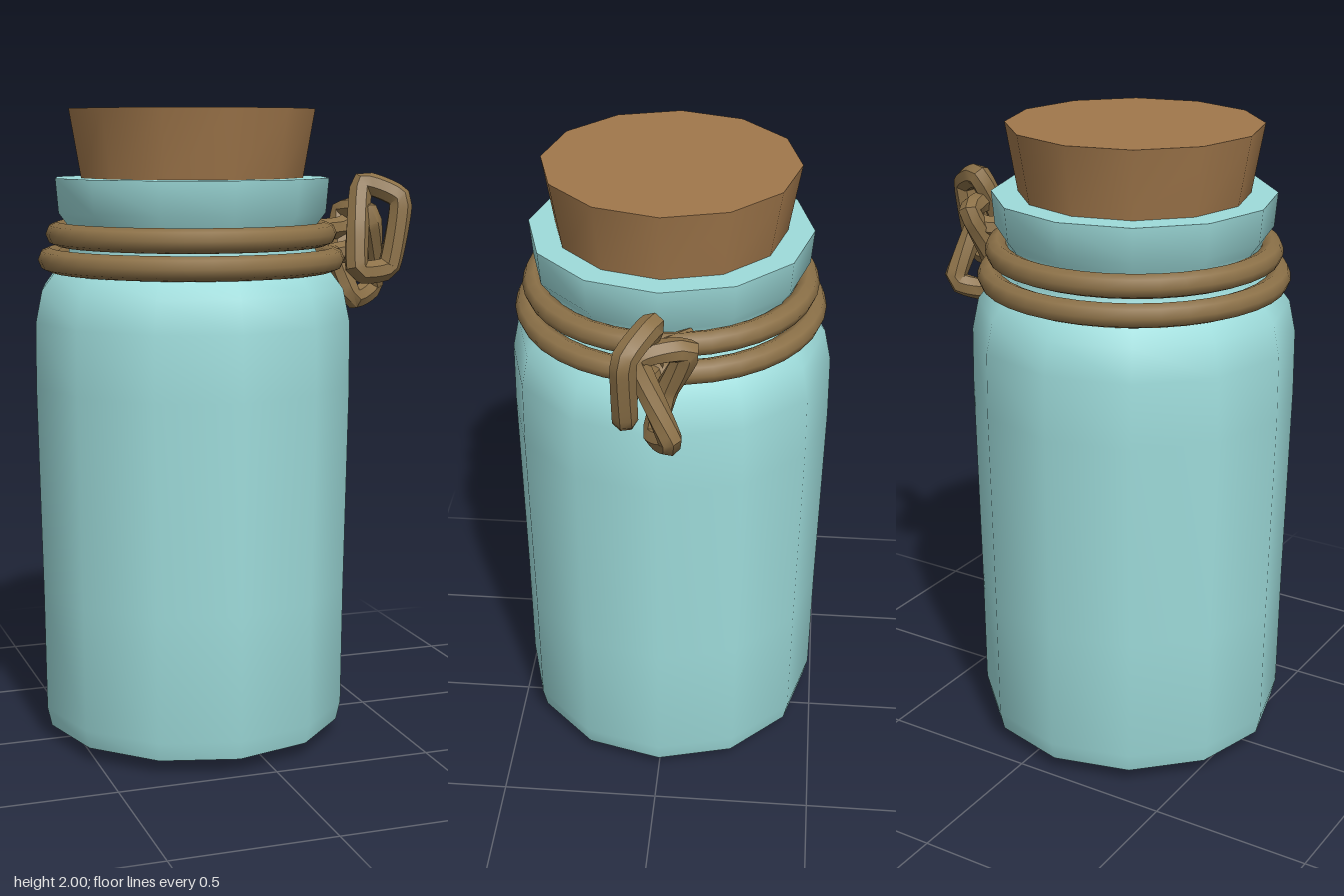
import * as THREE from 'three';
import { toCreasedNormals } from 'three/addons/utils/BufferGeometryUtils.js';

const SIDES = 12;
const AXIS_X = -0.11; // the jar stands off-centre because the knot sticks out on one side

const glassMat = new THREE.MeshStandardMaterial({ color: 0x9edcdb });
const corkMat = new THREE.MeshStandardMaterial({ color: 0xa0774b });
const ropeMat = new THREE.MeshStandardMaterial({ color: 0x8c7148 });

function addMesh(parent, name, geometry, material) {
  const mesh = new THREE.Mesh(geometry, material);
  mesh.name = name;
  parent.add(mesh);
  return mesh;
}

function lathe(profile, crease) {
  const points = profile.map(([r, y]) => new THREE.Vector2(r, y));
  return toCreasedNormals(new THREE.LatheGeometry(points, SIDES), crease);
}

// A rope strand through a few points, with tight bends
function strand(points, closed, radius) {
  const curve = new THREE.CatmullRomCurve3(
    points.map((p) => new THREE.Vector3(...p)), closed, 'catmullrom', 0.22);
  return toCreasedNormals(new THREE.TubeGeometry(curve, points.length * 7, radius, 7, closed), 0.7);
}

export function createModel() {
  const model = new THREE.Group();
  model.name = 'corkedJar';

  const jar = new THREE.Group();
  jar.name = 'jar';
  jar.position.x = AXIS_X;
  model.add(jar);

  // Glass: shallow domed base, tall body, shoulder, neck and lip
  addMesh(jar, 'glassBody', lathe([
    [0, 0.005], [0.3, 0.008], [0.475, 0.05], [0.489, 0.11], [0.493, 0.5],
    [0.505, 1.15], [0.503, 1.35], [0.482, 1.45], [0.44, 1.505], [0.4, 1.54],
    [0.39, 1.6], [0.4, 1.65], [0.426, 1.685], [0.435, 1.79], [0.33, 1.79],
  ], 0.95), glassMat);

  // Tapered cork
  const cork = addMesh(jar, 'cork',
    toCreasedNormals(new THREE.CylinderGeometry(0.39, 0.35, 0.23, SIDES), 0.8), corkMat);
  cork.position.y = 1.885;

  // Two turns of rope round the neck
  [[0.42, 1.617], [0.445, 1.538]].forEach(([radius, y], i) => {
    const ring = addMesh(jar, ['upperRope', 'lowerRope'][i],
      new THREE.TorusGeometry(radius, 0.037, 8, 36), ropeMat);
    ring.rotation.x = Math.PI / 2;
    ring.position.y = y;
  });

  // Knot: two interlocked loops and the short strands tying them to the rope
  const knot = new THREE.Group();
  knot.name = 'knot';
  model.add(knot);
  addMesh(knot, 'outerLoop', strand([
    [0.47, 1.765, 0.005], [0.575, 1.715, 0.07], [0.535, 1.5, 0.075],
    [0.42, 1.49, 0.09], [0.43, 1.62, 0.06],
  ], true, 0.038), ropeMat);
  addMesh(knot, 'innerLoop', strand([
    [0.44, 1.675, -0.095], [0.48, 1.665, 0.045], [0.535, 1.43, -0.055],
    [0.44, 1.395, 0.0], [0.405, 1.52, -0.03],
  ], true, 0.036), ropeMat);
  addMesh(knot, 'upperTie', strand([
    [0.27, 1.617, -0.09], [0.34, 1.617, -0.02], [0.41, 1.62, -0.05], [0.46, 1.64, -0.06],
  ], false, 0.036), ropeMat);
  addMesh(knot, 'lowerTie', strand([
    [0.31, 1.54, 0.1], [0.36, 1.54, 0.02], [0.41, 1.55, 0.03], [0.47, 1.56, 0.05],
  ], false, 0.036), ropeMat);

  return model;
}
